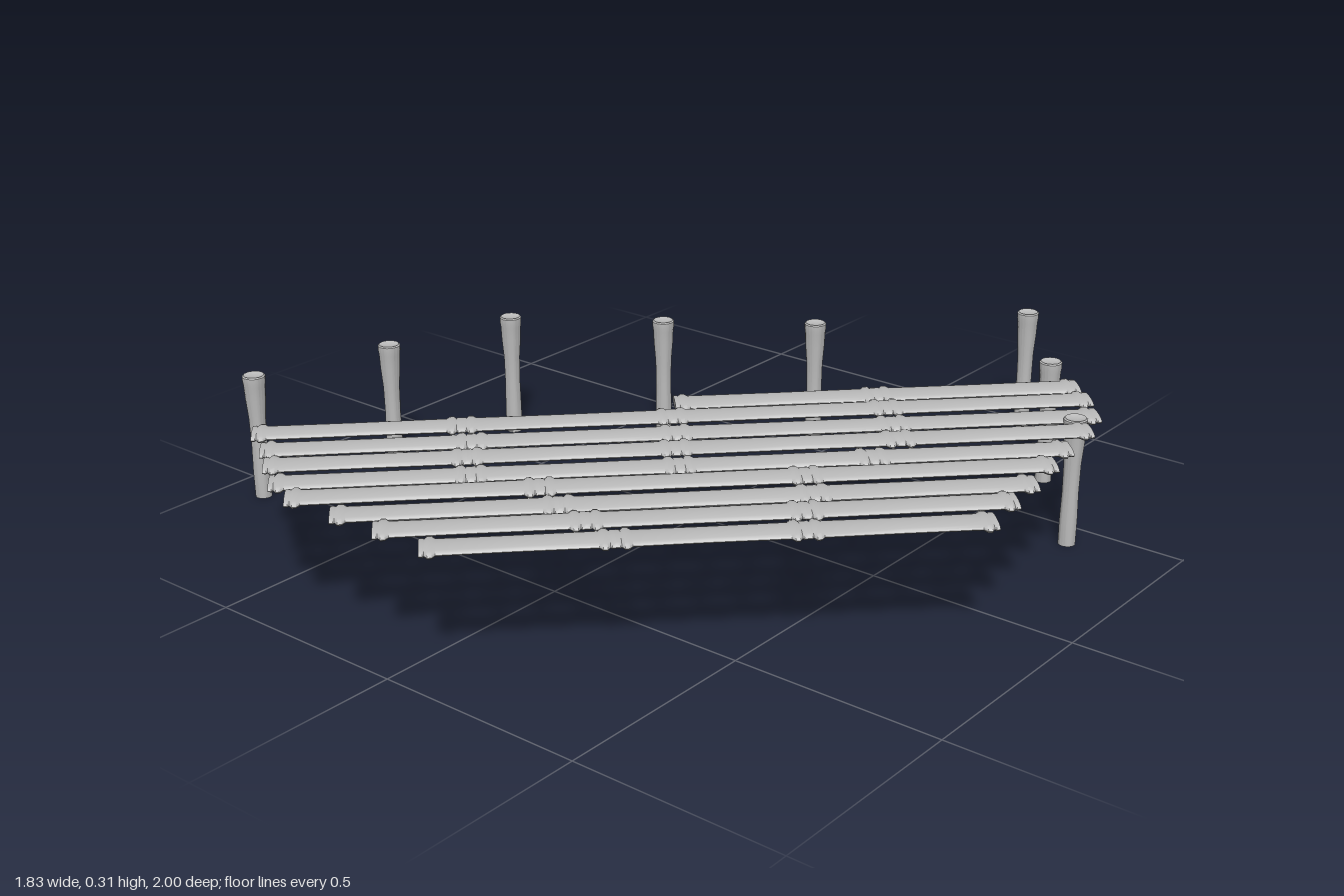
import * as THREE from 'three';
import { toCreasedNormals } from 'three/addons/utils/BufferGeometryUtils.js';

const grey = new THREE.MeshStandardMaterial({ color: 0xbbbbbb });
grey.name = 'plainGrey';

const CENTRE_Y = 0.299;  // height of the deck
const FLATTEN = 0.23;    // thickness of a cane relative to its width

// Lathe from [radius, height] pairs
function lathe(pairs, sides) {
  return new THREE.LatheGeometry(pairs.map(([r, y]) => new THREE.Vector2(r, y)), sides);
}

// One flattened cane segment: lip, raised ring, slim body, raised ring, lip
function caneSegment(length) {
  const h = length / 2;
  const end = [[0.040, 0], [0.041, 0.008], [0.037, 0.011], [0.048, 0.017], [0.047, 0.026], [0.037, 0.033]];
  const lower = end.map(([r, d]) => [r, d - h]);
  const upper = end.map(([r, d]) => [r, h - d]).reverse();
  const geo = lathe([[0, -h], ...lower, [0.036, 0], ...upper, [0, h]], 16);
  geo.scale(1, 1, FLATTEN);
  geo.rotateX(-Math.PI / 2);
  return toCreasedNormals(geo, 0.7);
}

// Rows of the deck: s = x + z across the deck, joints = x - z along it
const rows = [
  { s: 0.030, joints: [-0.08, 0.585, 1.255] },
  { s: 0.155, joints: [-1.415, -0.765, -0.10, 0.59, 1.26] },
  { s: 0.282, joints: [-1.38, -0.735, -0.10, 0.59, 1.25] },
  { s: 0.412, joints: [-1.36, -0.75, -0.115, 0.58, 1.19] },
  { s: 0.537, joints: [-1.335, -0.74, -0.115, 0.475, 1.09] },
  { s: 0.660, joints: [-1.28, -0.54, 0.25, 1.01] },
  { s: 0.783, joints: [-1.145, -0.49, 0.255, 0.92] },
  { s: 0.907, joints: [-1.02, -0.42, 0.21, 0.83] },
  { s: 1.028, joints: [-0.89, -0.345, 0.193, 0.74] },
];

// Posts that stand around the deck: [x, z]
const postSpots = [
  [0.30, -0.97], [0.525, -0.695], [0.75, -0.415], [-0.075, -0.565],
  [-0.385, -0.34], [-0.705, -0.12], [-0.795, 0.215], [-0.89, 0.56],
];

export function createModel() {
  const model = new THREE.Group();
  model.name = 'caneDeckWithPosts';

  // Deck of diagonal canes
  const deck = new THREE.Group();
  deck.name = 'deck';
  rows.forEach(({ s, joints }, i) => {
    const row = new THREE.Group();
    row.name = `caneRow${i + 1}`;
    for (let j = 0; j + 1 < joints.length; j++) {
      const a = joints[j], b = joints[j + 1], mid = (a + b) / 2;
      const cane = new THREE.Mesh(caneSegment((b - a) / Math.SQRT2), grey);
      cane.name = 'caneSegment';
      cane.position.set((s + mid) / 2, CENTRE_Y + (i % 2 ? 0.002 : -0.001), (s - mid) / 2);
      cane.rotation.y = -Math.PI / 4;
      row.add(cane);
    }
    deck.add(row);
  });
  model.add(deck);

  // Posts with a flared head and a shallow dished top
  const postGeo = toCreasedNormals(lathe([
    [0, 0], [0.020, 0], [0.0205, 0.06], [0.019, 0.13], [0.020, 0.20], [0.024, 0.25],
    [0.0255, 0.285], [0.027, 0.295], [0.027, 0.308], [0.024, 0.311], [0.018, 0.308], [0, 0.308],
  ], 20), 0.6);
  const posts = new THREE.Group();
  posts.name = 'posts';
  for (const [x, z] of postSpots) {
    const post = new THREE.Mesh(postGeo, grey);
    post.name = 'post';
    post.position.set(x, 0, z);
    posts.add(post);
  }
  model.add(posts);

  return model;
}
